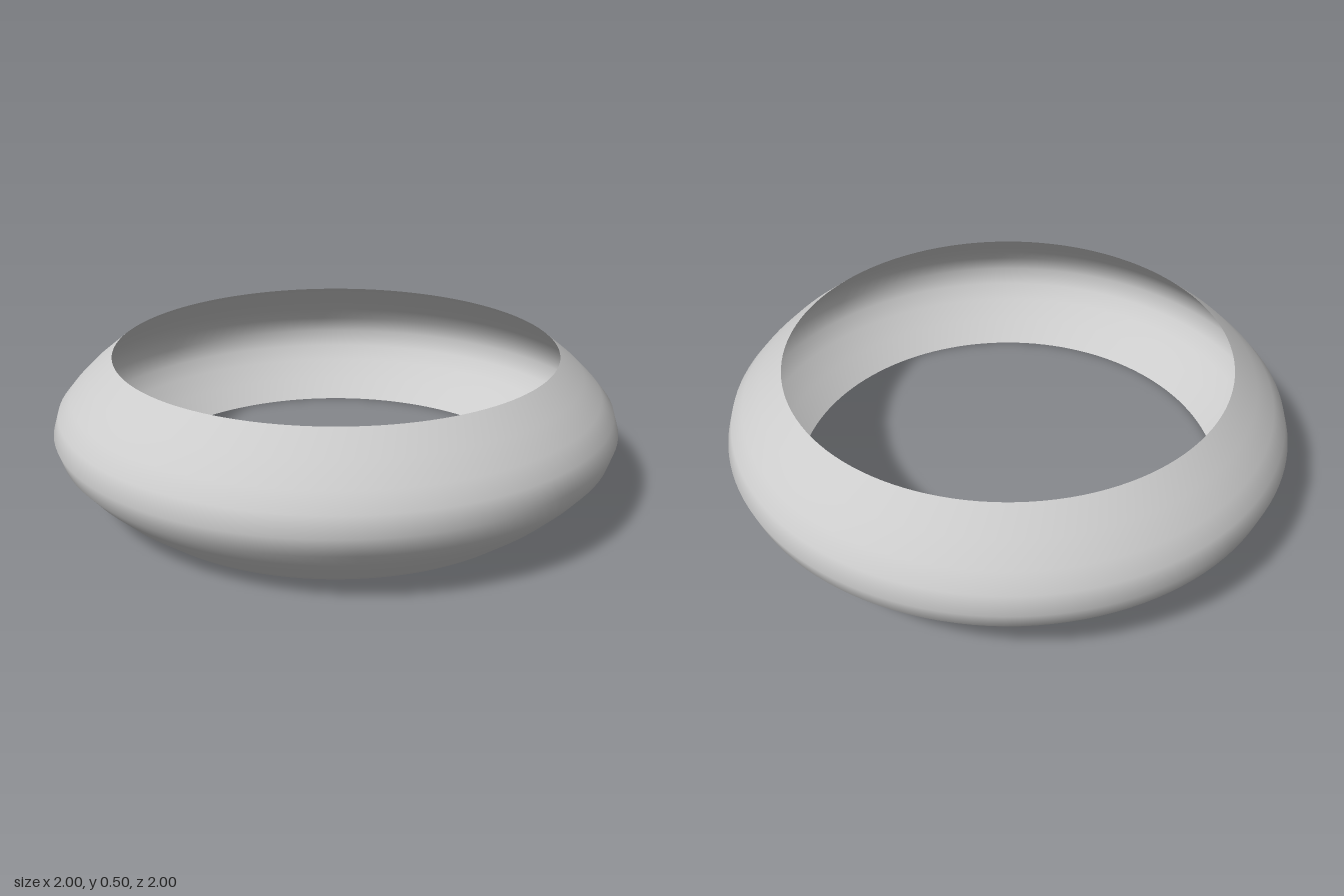
import * as THREE from 'three';

export function createModel() {
  const group = new THREE.Group();
  group.name = 'ring';

  // Upper half of the bulging wall, from the waist to the rim: [radius, height above waist]
  const half = [[1, 0], [0.98, 0.064], [0.935, 0.118], [0.87, 0.182], [0.785, 0.25]];
  const waist = 0.25;
  const lower = half.slice(1).reverse().map(([r, h]) => new THREE.Vector2(r, waist - h));
  const upper = half.map(([r, h]) => new THREE.Vector2(r, waist + h));

  // Thin open band, hollow inside, with smooth shading
  const band = new THREE.Mesh(
    new THREE.LatheGeometry([...lower, ...upper], 128),
    new THREE.MeshStandardMaterial({ color: 0xcccccc, side: THREE.DoubleSide })
  );
  band.name = 'band';
  group.add(band);
  return group;
}
